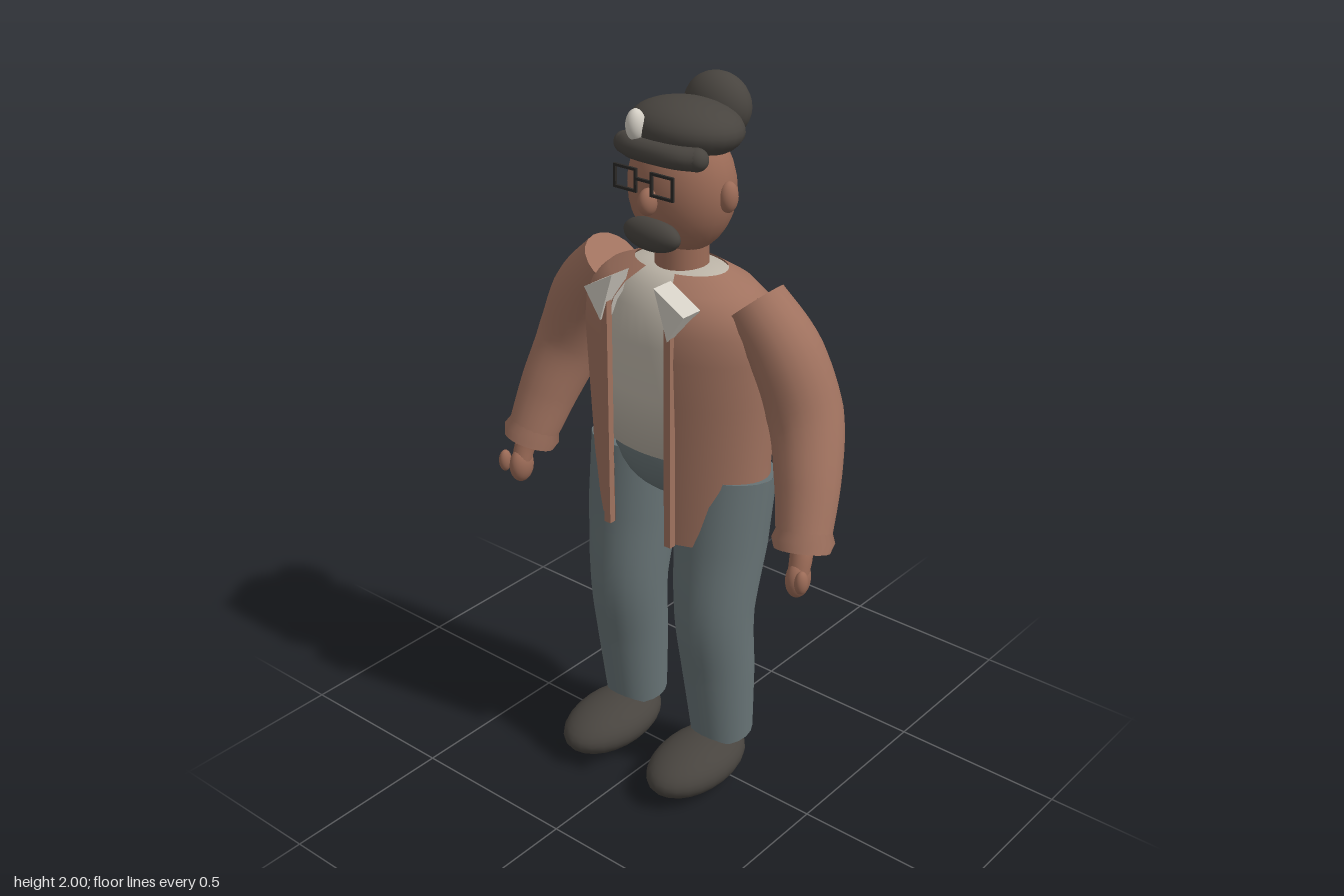
import * as THREE from 'three';

const mat = (name, color, side = THREE.FrontSide) => {
  const m = new THREE.MeshStandardMaterial({ color, side });
  m.name = name;
  return m;
};

export function createModel() {
  const root = new THREE.Group();
  const skin = mat('skin', 0x9b6b57);
  const jacketBrown = mat('jacket brown', 0xa0725f, THREE.DoubleSide);
  const shirtCream = mat('shirt cream', 0xbdb5a8, THREE.DoubleSide);
  const collarWhite = mat('collar white', 0xd3cec4);
  const denim = mat('trouser grey', 0x667274);
  const dark = mat('charcoal', 0x48443f);
  const frameBlack = mat('frame black', 0x2a2826);

  function add(name, geo, material, x = 0, y = 0, z = 0, parent = root) {
    const m = new THREE.Mesh(geo, material);
    m.name = name;
    m.position.set(x, y, z);
    parent.add(m);
    return m;
  }

  function ball(name, material, [x, y, z], [rx, ry, rz], parent = root) {
    const m = add(name, new THREE.SphereGeometry(1, 24, 16), material, x, y, z, parent);
    m.scale.set(rx, ry, rz);
    return m;
  }

  // Tube along a curve, its radius following a list, with flat end caps
  function limb(name, material, points, radii, steps = 24) {
    const g = new THREE.Group();
    g.name = name;
    root.add(g);
    const curve = new THREE.CatmullRomCurve3(points.map(p => new THREE.Vector3(...p)));
    const geo = new THREE.TubeGeometry(curve, steps, 1, 20, false);
    const pos = geo.attributes.position;
    const v = new THREE.Vector3();
    for (let i = 0; i <= steps; i++) {
      const t = (i / steps) * (radii.length - 1);
      const k = Math.min(Math.floor(t), radii.length - 2);
      const r = THREE.MathUtils.lerp(radii[k], radii[k + 1], t - k);
      const c = curve.getPointAt(i / steps);
      for (let j = 0; j <= 20; j++) {
        const n = i * 21 + j;
        v.fromBufferAttribute(pos, n).sub(c).multiplyScalar(r).add(c);
        pos.setXYZ(n, v.x, v.y, v.z);
      }
    }
    add(name + ' surface', geo, material, 0, 0, 0, g);
    for (const [u, dir, r] of [[0, -1, radii[0]], [1, 1, radii[radii.length - 1]]]) {
      const p = curve.getPointAt(u);
      const cap = add(name + ' end', new THREE.CircleGeometry(r, 20), material, p.x, p.y, p.z, g);
      cap.quaternion.setFromUnitVectors(new THREE.Vector3(0, 0, 1), curve.getTangentAt(u).multiplyScalar(dir));
    }
  }

  // Lathe body with an oval section
  function oval(name, material, profile, depth, gap = 0) {
    const pts = profile.map(p => new THREE.Vector2(...p));
    const m = add(name, new THREE.LatheGeometry(pts, 48, gap, Math.PI * 2 - gap * 2), material, 0, 0, -0.043);
    m.scale.z = depth;
  }

  // Torso: open jacket over a shirt, with hips below
  oval('jacket', jacketBrown, [[0.275, 0.79], [0.278, 1], [0.289, 1.2], [0.296, 1.33],
    [0.29, 1.4], [0.268, 1.455], [0.22, 1.495], [0.14, 1.53]], 0.65, 0.35);
  oval('shirt', shirtCream, [[0, 1.03], [0.25, 1.03], [0.262, 1.2], [0.268, 1.35],
    [0.24, 1.44], [0.19, 1.49], [0.14, 1.525], [0.07, 1.53]], 0.65);
  ball('hips', denim, [0, 1.03, -0.043], [0.2, 0.17, 0.16]);

  // Head
  add('neck', new THREE.CylinderGeometry(0.07, 0.073, 0.13, 24), skin, 0, 1.555, -0.045);
  ball('head', skin, [0, 1.735, -0.045], [0.15, 0.175, 0.128]);
  ball('nose', skin, [0, 1.725, 0.09], [0.024, 0.036, 0.03]);
  ball('beard', dark, [0, 1.635, 0.075], [0.09, 0.044, 0.038]);

  // Cap, hair bun and pompom
  ball('cap', dark, [0, 1.885, -0.06], [0.16, 0.075, 0.133]).rotation.x = -0.08;
  const brimCurve = new THREE.CatmullRomCurve3([[-0.115, 1.845, 0.04], [-0.07, 1.847, 0.063],
    [0, 1.848, 0.07], [0.07, 1.847, 0.063], [0.115, 1.845, 0.04]].map(p => new THREE.Vector3(...p)));
  add('brim', new THREE.TubeGeometry(brimCurve, 20, 0.03, 14), dark);
  for (const s of [-1, 1]) ball('brim end', dark, [s * 0.115, 1.845, 0.04], [0.032, 0.03, 0.03]);
  ball('bun', dark, [0, 1.912, -0.187], [0.097, 0.088, 0.073]);
  ball('pompom', collarWhite, [-0.06, 1.905, 0.065], [0.025, 0.042, 0.027]);

  // Glasses
  const bar = (x, y, w, h) => add('glasses frame', new THREE.BoxGeometry(w, h, 0.007), frameBlack, x, y, 0.106);
  bar(0, 1.785, 0.055, 0.007);

  for (const s of [-1, 1]) {
    const side = s > 0 ? 'left ' : 'right ';
    ball(side + 'ear', skin, [s * 0.15, 1.735, -0.045], [0.024, 0.041, 0.028]);
    for (const y of [1.752, 1.808]) bar(s * 0.06, y, 0.075, 0.007);
    for (const x of [0.026, 0.094]) bar(s * x, 1.78, 0.007, 0.06);

    // Jacket front edge and pointed collar
    add(side + 'jacket edge', new THREE.BoxGeometry(0.022, 0.67, 0.02), jacketBrown, s * 0.107, 1.125, 0.135);
    const tri = new THREE.Shape([[0.167, 1.475], [0.07, 1.53], [0.113, 1.395]]
      .map(([x, y]) => new THREE.Vector2(s * x, y)));
    add(side + 'collar', new THREE.ExtrudeGeometry(tri, { depth: 0.067, bevelEnabled: false }),
      collarWhite, 0, 0, 0.085);

    // Sleeve, cuff and hand
    limb(side + 'sleeve', jacketBrown, [[s * 0.24, 1.475, -0.045], [s * 0.335, 1.365, -0.05],
      [s * 0.405, 1.2, -0.052], [s * 0.452, 1.05, -0.005], [s * 0.48, 0.92, 0.043]],
    [0.085, 0.098, 0.1, 0.088, 0.073]);
    limb(side + 'cuff', jacketBrown, [[s * 0.478, 0.935, 0.037], [s * 0.482, 0.91, 0.047],
      [s * 0.486, 0.885, 0.056]], [0.073, 0.083, 0.074], 8);
    limb(side + 'wrist', skin, [[s * 0.485, 0.9, 0.055], [s * 0.492, 0.87, 0.068],
      [s * 0.495, 0.83, 0.082]], [0.03, 0.03, 0.028], 6);
    ball(side + 'hand', skin, [s * 0.495, 0.815, 0.082], [0.03, 0.053, 0.04]);
    ball(side + 'thumb', skin, [s * 0.528, 0.83, 0.115], [0.017, 0.033, 0.02]);

    // Trouser leg and shoe
    limb(side + 'leg', denim, [[s * 0.16, 0.975, -0.052], [s * 0.157, 0.76, -0.025],
      [s * 0.157, 0.54, 0], [s * 0.16, 0.34, -0.018], [s * 0.162, 0.13, -0.036]],
    [0.133, 0.13, 0.113, 0.104, 0.09]);
    ball(side + 'shoe', dark, [s * 0.16, 0.073, 0.078], [0.11, 0.073, 0.182]);
  }
  return root;
}
